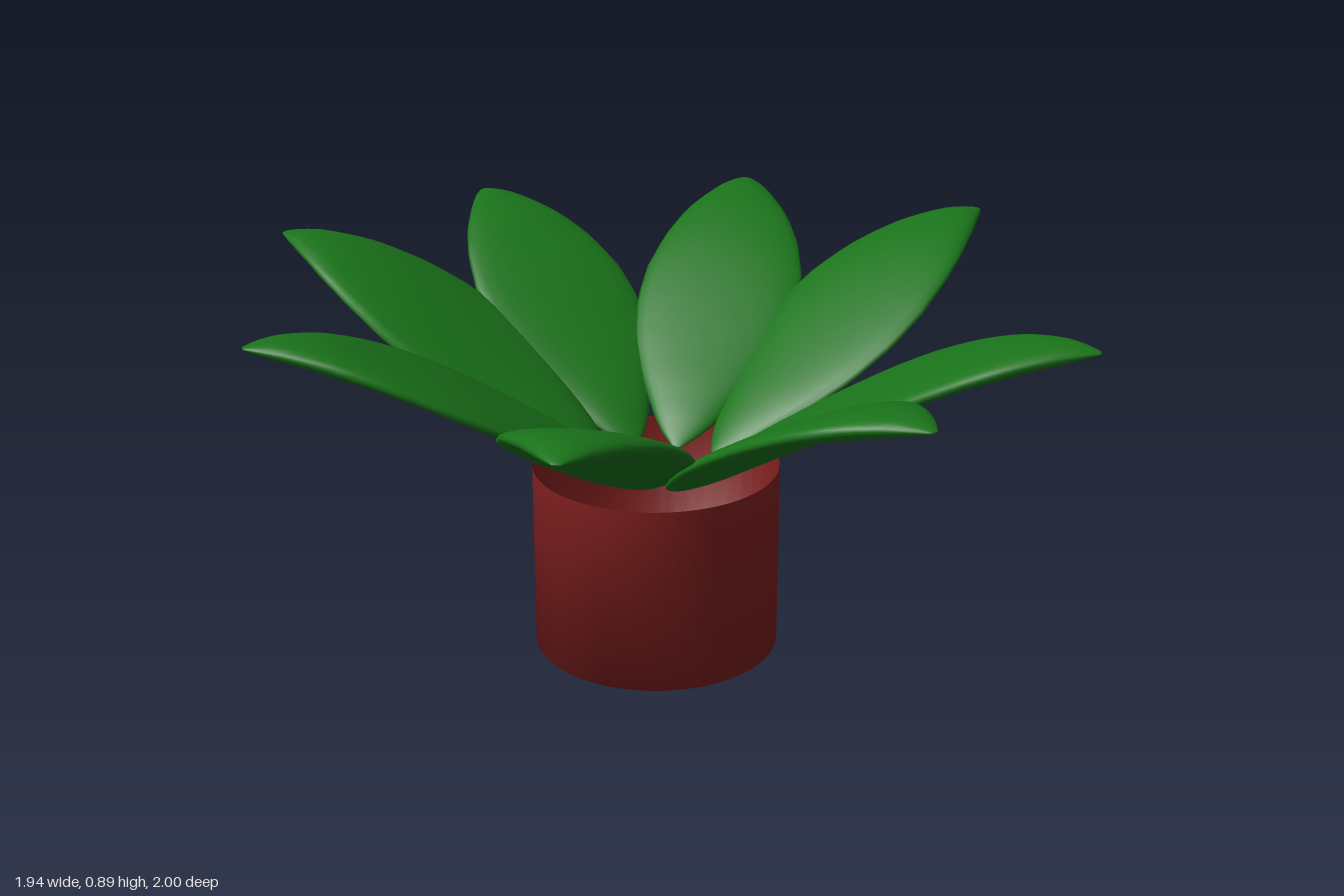
import * as THREE from 'three';
import { mergeVertices } from 'three/addons/utils/BufferGeometryUtils.js';

// Half-width along the leaf, as [position, half-width]
const OUTLINE = [[0, 0.008], [0.04, 0.045], [0.08, 0.073], [0.2, 0.138], [0.31, 0.181], [0.43, 0.203],
  [0.54, 0.2], [0.66, 0.174], [0.77, 0.135], [0.885, 0.078], [0.96, 0.036], [1, 0.008]];

function halfWidth(t) {
  let i = 0;
  while (i < OUTLINE.length - 2 && t > OUTLINE[i + 1][0]) i++;
  const [a, wa] = OUTLINE[i], [b, wb] = OUTLINE[i + 1];
  return wa + (wb - wa) * (t - a) / (b - a);
}

// Leaf: a sphere stretched along a centre line that rises and levels out at the tip
function leafGeometry([bx, bz, tx, ty, tz, bend]) {
  const geo = new THREE.SphereGeometry(1, 24, 36);
  const p = geo.attributes.position;
  const baseY = 0.44, thickness = 0.032;
  const len = Math.hypot(tx - bx, tz - bz);
  const sx = -(tz - bz) / len, sz = (tx - bx) / len;
  for (let i = 0; i < p.count; i++) {
    const ring = Math.hypot(p.getX(i), p.getZ(i));
    const t = THREE.MathUtils.clamp((1 + p.getY(i)) / 2, 0, 1);
    const across = ring > 1e-6 ? p.getX(i) / ring : 0;
    const through = ring > 1e-6 ? p.getZ(i) / ring : 0;
    const width = halfWidth(t);
    const plump = thickness * Math.min(1, 0.4 + width / 0.2) * Math.min(1, ring * 1.8);
    const side = across * width + bend * Math.sin(Math.PI * t);
    const rise = 1.2 * t + 0.5 * t * t - 0.7 * t * t * t;
    const y = baseY + (ty - baseY) * rise + through * plump;
    p.setXYZ(i, bx + (tx - bx) * t + sx * side, y, bz + (tz - bz) * t + sz * side);
  }
  geo.deleteAttribute('uv');
  geo.deleteAttribute('normal');
  const merged = mergeVertices(geo, 1e-5);
  merged.computeVertexNormals();
  return merged;
}

export function createModel() {
  const group = new THREE.Group();
  const clay = new THREE.MeshStandardMaterial({ color: 0x801f1f, side: THREE.DoubleSide });
  clay.name = 'clay red';
  const leafGreen = new THREE.MeshStandardMaterial({ color: 0x1a731a });
  leafGreen.name = 'leaf green';

  // Pot: an open thin shell, base and wall shaded as one
  const profile = [[0, 0], [0.29, 0], [0.29, 0.45]].map(([r, y]) => new THREE.Vector2(r, y));
  const pot = new THREE.Mesh(new THREE.LatheGeometry(profile, 48), clay);
  pot.name = 'pot';
  pot.position.set(-0.045, 0, 0.005);
  group.add(pot);

  // Leaves: base x, base z, tip x, tip y, tip z, sideways bend
  const leaves = [
    [-0.03, -0.13, -0.03, 0.853, -1.0, 0],
    [0.05, -0.07, 0.62, 0.862, -0.74, 0.02],
    [0.11, 0.0, 0.97, 0.878, -0.17, 0.01],
    [0.04, 0.08, 0.62, 0.855, 0.775, -0.01],
    [-0.065, 0.13, 0.04, 0.866, 1.0, 0],
    [-0.13, 0.085, -0.67, 0.864, 0.795, 0.015],
    [-0.11, -0.005, -0.97, 0.843, -0.145, -0.012],
    [-0.12, -0.1, -0.63, 0.862, -0.855, -0.01],
  ];
  const foliage = new THREE.Group();
  foliage.name = 'foliage';
  group.add(foliage);
  leaves.forEach((leaf, i) => {
    const mesh = new THREE.Mesh(leafGeometry(leaf), leafGreen);
    mesh.name = `leaf${i + 1}`;
    foliage.add(mesh);
  });
  return group;
}
